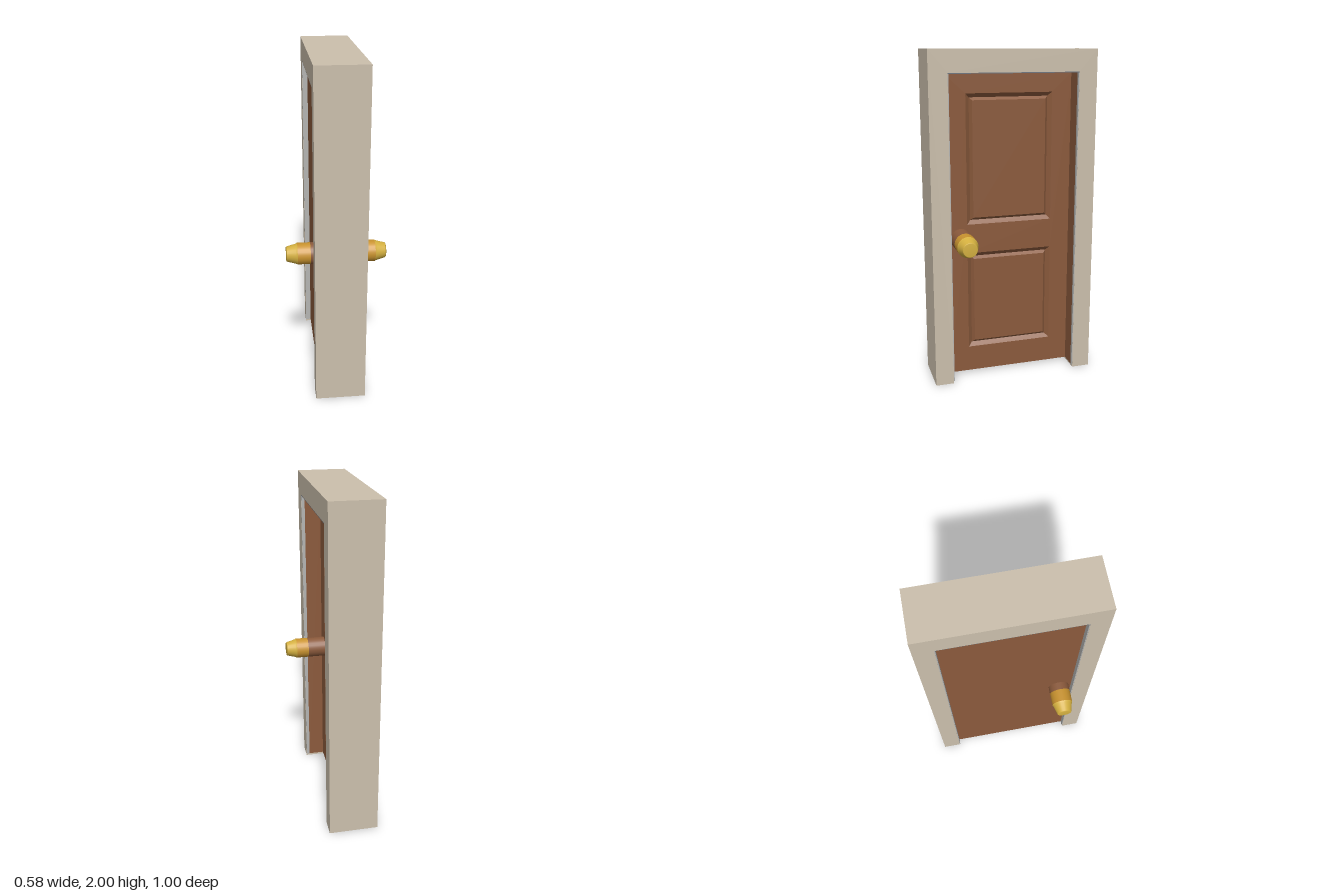
import * as THREE from 'three';

const mat = (name, color) => {
  const m = new THREE.MeshStandardMaterial({ color });
  m.name = name;
  return m;
};

// Flat-shaded bands between nested rectangular loops [x0, y0, x1, y1, z], closed by the last one
function nestedLoops(loops) {
  const corners = loops.map(([x0, y0, x1, y1, z]) => [[x0, y0, z], [x1, y0, z], [x1, y1, z], [x0, y1, z]]);
  const pos = [];
  const quad = (a, b, c, d) => pos.push(...a, ...b, ...c, ...a, ...c, ...d);
  for (let i = 0; i + 1 < corners.length; i++) {
    for (let k = 0; k < 4; k++) {
      const n = (k + 1) % 4;
      quad(corners[i][k], corners[i][n], corners[i + 1][n], corners[i + 1][k]);
    }
  }
  quad(...corners[corners.length - 1]);
  const g = new THREE.BufferGeometry();
  g.setAttribute('position', new THREE.Float32BufferAttribute(pos, 3));
  g.computeVertexNormals();
  return g;
}

const rectPoints = (x0, y0, x1, y1) =>
  [[x0, y0], [x1, y0], [x1, y1], [x0, y1]].map(p => new THREE.Vector2(...p));

export function createModel() {
  const stone = mat('frame beige', 0xcbbfac);
  const wood = mat('door brown', 0x8b5a3c);
  const grey = mat('jamb grey', 0xb4b4b2);
  const slate = mat('head slate', 0x6c737d);
  const orange = mat('knob orange', 0xc9932f);
  const yellow = mat('knob yellow', 0xd4b040);

  // Built facing +z, then turned so the panelled side faces +x
  const door = new THREE.Group();
  door.name = 'doorAssembly';
  const add = (name, geometry, material, parent = door) => {
    const m = new THREE.Mesh(geometry, material);
    m.name = name;
    parent.add(m);
    return m;
  };
  const box = (name, x0, x1, y0, y1, z0, z1, material) =>
    add(name, new THREE.BoxGeometry(x1 - x0, y1 - y0, z1 - z0), material)
      .position.set((x0 + x1) / 2, (y0 + y1) / 2, (z0 + z1) / 2);

  const back = -0.138, front = 0.158, face = 0.04, rear = -0.105;

  // Frame: two legs and a head in one piece
  const outline = [[-0.5, 0], [-0.39, 0], [-0.39, 1.87], [0.39, 1.87], [0.39, 0], [0.5, 0], [0.5, 2], [-0.5, 2]];
  const frame = new THREE.ExtrudeGeometry(new THREE.Shape(outline.map(p => new THREE.Vector2(...p))),
    { depth: front - back, bevelEnabled: false });
  frame.translate(0, 0, back);
  add('frame', frame, stone);

  // Thin linings inside the opening
  for (const s of [-1, 1]) {
    const [a, b] = s < 0 ? [-0.39, -0.385] : [0.385, 0.39];
    box('jambLining', a, b, 0.015, 1.865, face, 0.137, wood);
    box('jambEdgeFront', a, b, 0.015, 1.865, 0.137, front - 0.001, grey);
    box('jambEdgeBack', a, b, 0.015, 1.865, back + 0.001, rear, grey);
  }
  box('headLining', -0.39, 0.39, 1.865, 1.87, back + 0.001, front - 0.001, slate);

  // Door slab with a front plate cut out for the panels
  box('doorSlab', -0.39, 0.39, 0.015, 1.865, rear, face - 0.022, wood);
  const panels = [[-0.265, 0.175, 0.265, 0.79], [-0.265, 0.97, 0.265, 1.75]];
  const plate = new THREE.Shape(rectPoints(-0.39, 0.015, 0.39, 1.865));
  panels.forEach(p => plate.holes.push(new THREE.Path(rectPoints(...p))));
  const plateGeometry = new THREE.ExtrudeGeometry(plate, { depth: 0.022, bevelEnabled: false });
  plateGeometry.translate(0, 0, face - 0.022);
  add('doorFace', plateGeometry, wood);

  // Panels bordered by a V-shaped groove
  for (const [x0, y0, x1, y1] of panels) {
    const loop = (d, z) => [x0 + d, y0 + d, x1 - d, y1 - d, z];
    add('doorPanel', nestedLoops([loop(0, face), loop(0.024, face - 0.02), loop(0.04, face - 0.003)]), wood);
  }

  // A knob on each side: brown collar, orange barrel, yellow tapered tip
  const lathe = pts => new THREE.LatheGeometry(pts.map(p => new THREE.Vector2(...p)), 24).rotateX(Math.PI / 2);
  for (const s of [1, -1]) {
    const knob = new THREE.Group();
    knob.name = s > 0 ? 'frontKnob' : 'backKnob';
    knob.position.set(-0.305, 0.885, 0);
    if (s < 0) knob.rotation.y = Math.PI;
    add('knobCollar', lathe([[0.063, s > 0 ? 0.035 : 0.1], [0.063, 0.15]]), wood, knob);
    add('knobBarrel', lathe([[0.063, 0.15], [0.063, 0.225]]), orange, knob);
    add('knobTip', lathe([[0.063, 0.225], [0.058, 0.235], [0.044, 0.286]]), yellow, knob);
    add('knobEnd', lathe([[0.044, 0.286], [0.04, 0.29], [0, 0.29]]), yellow, knob);
    door.add(knob);
  }

  door.rotation.y = Math.PI / 2;
  const model = new THREE.Group();
  model.name = 'door';
  model.add(door);
  return model;
}
